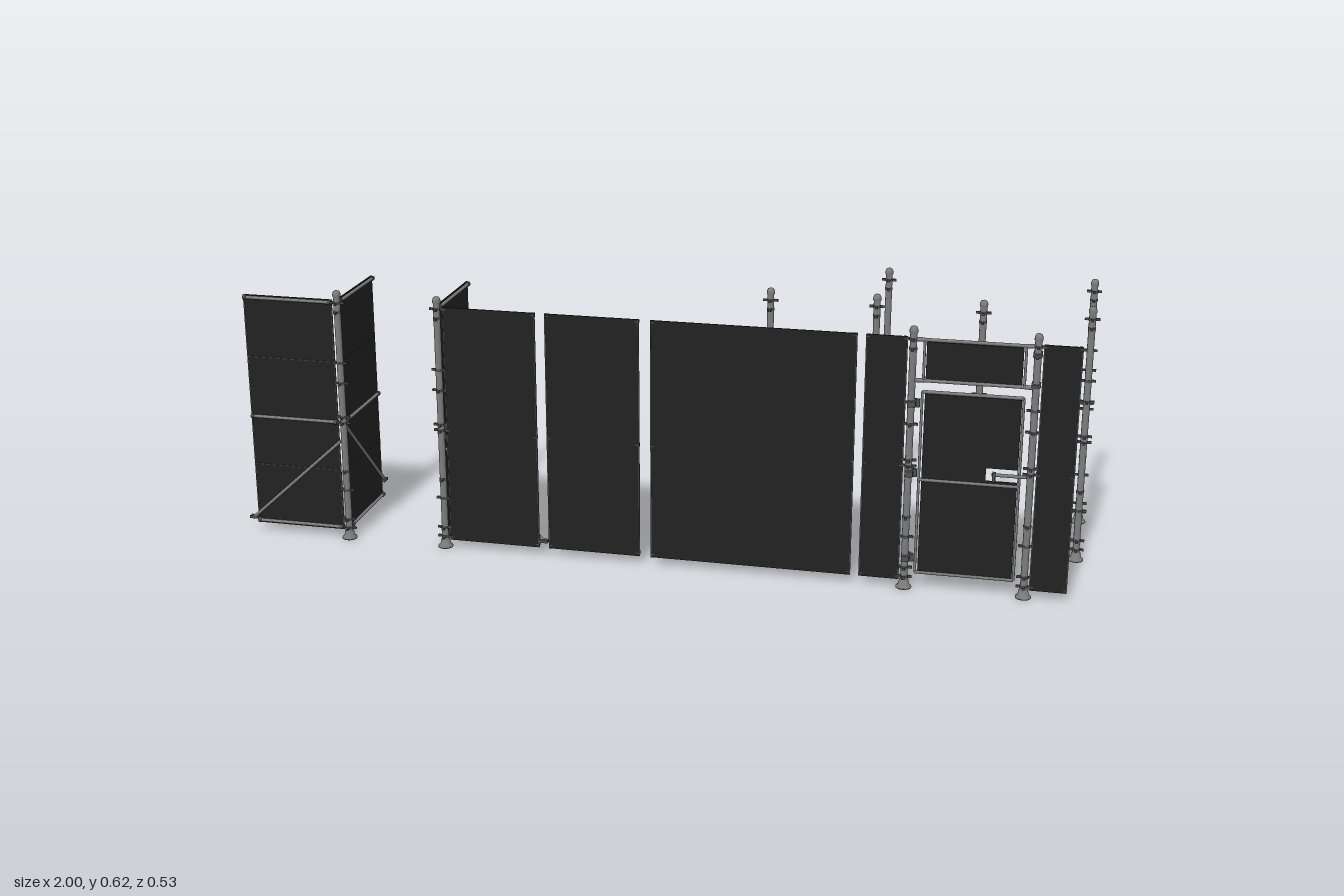
import * as THREE from 'three';

const mat = (name, color) => {
  const m = new THREE.MeshStandardMaterial({ color });
  m.name = name;
  return m;
};

export function createModel() {
  const root = new THREE.Group();
  root.name = 'modularFence';
  const sheet = mat('blackSheet', 0x222222);
  const steel = mat('greySteel', 0x7c7c7c);
  const clampMat = mat('darkClamp', 0x505050);
  const seamMat = mat('seamGrey', 0x3c3c3c);

  const add = (parent, name, geo, m, x = 0, y = 0, z = 0) => {
    const mesh = new THREE.Mesh(geo, m);
    mesh.name = name;
    mesh.position.set(x, y, z);
    parent.add(mesh);
    return mesh;
  };
  const box = (p, name, m, w, h, d, x, y, z) => add(p, name, new THREE.BoxGeometry(w, h, d), m, x, y, z);
  const group = (name, x = 0, z = 0, turn = 0) => {
    const g = new THREE.Group();
    g.name = name;
    g.position.set(x, 0, z);
    g.rotation.y = turn;
    root.add(g);
    return g;
  };
  // Round bar between two points
  const bar = (p, name, a, b, r = 0.004, m = steel) => {
    const A = new THREE.Vector3(...a), B = new THREE.Vector3(...b);
    const mesh = add(p, name, new THREE.CylinderGeometry(r, r, A.distanceTo(B), 12), m);
    mesh.position.copy(A).add(B).multiplyScalar(0.5);
    mesh.quaternion.setFromUnitVectors(new THREE.Vector3(0, 1, 0), B.sub(A).normalize());
    return mesh;
  };

  // Post: flared foot, shaft, domed cap
  const shaftGeo = new THREE.LatheGeometry([
    [0, 0], [0.018, 0], [0.018, 0.003], [0.0125, 0.008], [0.0105, 0.019], [0.008, 0.021],
    [0.008, 0.606], [0.0095, 0.607], [0.0095, 0.614], [0.007, 0.62], [0, 0.623],
  ].map(([x, y]) => new THREE.Vector2(x, y)), 16);
  const ringGeo = new THREE.CylinderGeometry(0.0092, 0.0092, 0.006, 16);
  const boltX = new THREE.BoxGeometry(0.035, 0.005, 0.006);
  const boltZ = new THREE.BoxGeometry(0.006, 0.005, 0.035);
  const levels = [0.592, 0.57, 0.445, 0.395, 0.31, 0.296, 0.173, 0.125, 0.05, 0.027];
  function post(x, z) {
    const g = group('post', x, z);
    add(g, 'postShaft', shaftGeo, steel);
    levels.forEach((y, i) => {
      add(g, 'clampRing', ringGeo, clampMat, 0, y, 0);
      if (i % 5 !== 1) add(g, 'clampBolt', boltX, clampMat, 0, y, 0);
      if (i % 5 !== 2) add(g, 'clampLug', boltZ, clampMat, 0, y, 0);
    });
  }
  [[-0.745, 0.245], [-0.5, 0.245], [0.6, 0.245], [0.87, 0.245], [0.49, -0.245], [0.98, -0.245],
    [0.24, 0], [0.49, 0], [0.735, 0], [0.98, 0]].forEach(([x, z]) => post(x, z));

  // Bay: sheet running along local +x, with its rails and seams on local +z
  function bay(name, x, z, turn, from, to, brace) {
    const g = group(name, x, z, turn);
    const w = to - from, mid = (from + to) / 2;
    box(g, 'sheet', sheet, w, 0.578, 0.003, mid, 0.309, -0.003);
    for (const y of [0.592, 0.296, 0.027]) {
      bar(g, 'rail', [from, y, 0.001], [to, y, 0.001]);
      for (const e of [from + 0.004, to - 0.004]) {
        bar(g, 'railCoupler', [e - 0.004, y, 0.001], [e + 0.004, y, 0.001], 0.0058, clampMat);
      }
    }
    for (const y of [0.445, 0.173]) box(g, 'seam', seamMat, w, 0.002, 0.002, mid, y, -0.001);
    for (const e of [from, to]) box(g, 'edgeStrip', clampMat, 0.002, 0.578, 0.004, e, 0.309, -0.003);
    // Diagonal tube with a clamp on its lower end
    if (brace) {
      const [a, ya, b, yb] = brace;
      bar(g, 'brace', [a, ya, 0.004], [b, yb, 0.004]);
      box(g, 'braceClamp', clampMat, 0.02, 0.007, 0.012, b, yb, 0.002);
    }
  }
  const half = Math.PI, quarter = Math.PI / 2;
  // Outer corner: rails face front and model left
  bay('cornerFrontBay', -0.745, 0.245, 0, -0.235, -0.015, [-0.008, 0.25, -0.245, 0.035]);
  bay('cornerSideBay', -0.745, 0.245, quarter, 0.015, 0.23, [0.008, 0.282, 0.237, 0.063]);
  // Inner corner: rails face inward
  bay('returnSideBay', -0.5, 0.245, quarter, 0.015, 0.23, [0.008, 0.282, 0.237, 0.063]);
  bay('returnFrontBay', -0.5, 0.245, half, -0.235, -0.015, [-0.008, 0.25, -0.245, 0.035]);
  // Straight run
  for (const [n, a, b] of [['singleBay', -0.24, -0.02], ['doubleBay', 0.008, 0.476],
    ['gateLeftBay', 0.497, 0.587], ['gateRightBay', 0.883, 0.965]]) {
    bay(n, 0, 0.245, half, -b, -a);
  }

  // Gate: transom above, framed leaf below with a latch opening
  const gate = group('gate', 0, 0.245);
  const frame = (name, x0, x1, y0, y1) => {
    for (const y of [y0, y1]) bar(gate, name + 'Rail', [x0, y, 0], [x1, y, 0]);
    for (const x of [x0, x1]) bar(gate, name + 'Stile', [x, y0, 0], [x, y1, 0], 0.003);
  };
  frame('transom', 0.625, 0.845, 0.498, 0.592);
  box(gate, 'transomSheet', sheet, 0.21, 0.085, 0.003, 0.735, 0.545, 0);
  frame('leaf', 0.624, 0.846, 0.04, 0.472);
  const leaf = new THREE.Shape([[0.63, 0.042], [0.842, 0.042], [0.842, 0.468], [0.63, 0.468]]
    .map(([x, y]) => new THREE.Vector2(x, y)));
  leaf.holes.push(new THREE.Path([[0.772, 0.274], [0.772, 0.304], [0.841, 0.304], [0.841, 0.274]]
    .map(([x, y]) => new THREE.Vector2(x, y))));
  add(gate, 'leafSheet', new THREE.ExtrudeGeometry(leaf, { depth: 0.003, bevelEnabled: false }), sheet, 0, 0, -0.0015);
  bar(gate, 'leafMidRail', [0.624, 0.265, 0], [0.846, 0.265, 0]);
  bar(gate, 'latchBolt', [0.785, 0.289, 0], [0.862, 0.289, 0], 0.004);
  box(gate, 'latchHandle', clampMat, 0.007, 0.02, 0.014, 0.79, 0.284, 0);
  for (const y of [0.592, 0.498]) {
    bar(gate, 'transomTieLeft', [0.6, y, 0], [0.625, y, 0], 0.005);
    bar(gate, 'transomTieRight', [0.845, y, 0], [0.87, y, 0], 0.005);
  }
  for (const y of [0.445, 0.28, 0.075]) {
    bar(gate, 'hingePin', [0.615, y - 0.009, 0], [0.615, y + 0.009, 0], 0.005, clampMat);
    box(gate, 'hingeClamp', clampMat, 0.018, 0.013, 0.031, 0.602, y, 0);
  }
  for (const y of [0.575, 0.505]) box(gate, 'keeper', clampMat, 0.02, 0.006, 0.031, 0.87, y, 0);

  // Spare brace and stack of spare clamps
  const spare = group('spareParts', 0, -0.25);
  bar(spare, 'spareBrace', [0, 0.27, 0], [0.23, 0.045, 0]);
  box(spare, 'spareBraceClamp', clampMat, 0.018, 0.007, 0.012, 0.235, 0.04, 0);
  const halfRing = new THREE.TorusGeometry(0.008, 0.0025, 6, 12, Math.PI);
  for (const y of [0.4, 0.337, 0.255, 0.128, 0.075, 0.03]) {
    const ring = add(spare, 'spareClamp', halfRing, clampMat, -0.007, y, 0.004);
    ring.rotation.x = -quarter;
    box(spare, 'spareClampLug', clampMat, 0.022, 0.004, 0.005, -0.007, y, -0.004);
  }
  return root;
}
